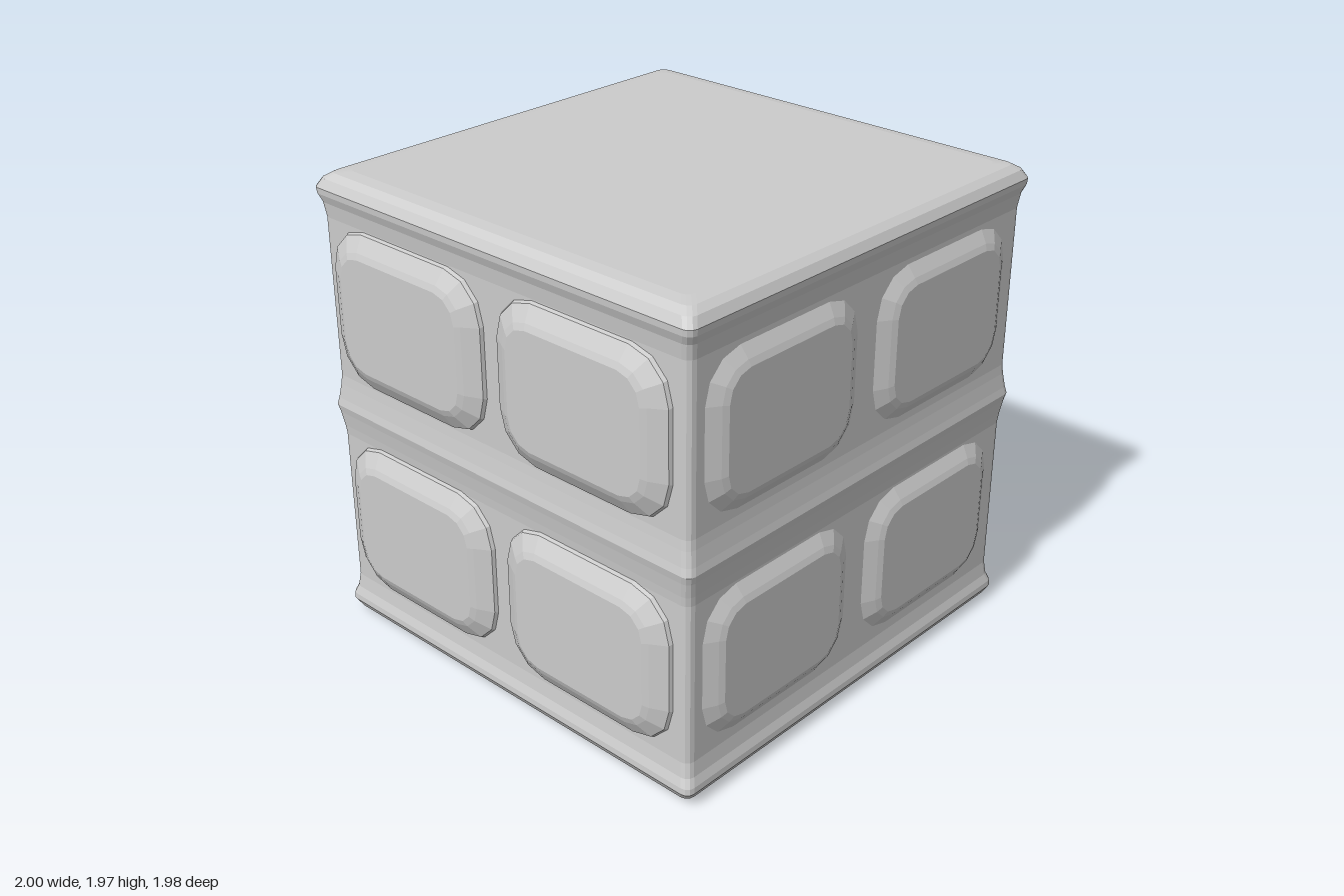
import * as THREE from 'three';

const material = new THREE.MeshStandardMaterial({ color: 0xcccccc, flatShading: true });

// Skins a stack of rounded rectangles [y, halfX, halfZ, cornerRadius] from bottom to top.
function loft(rings, cornerSteps) {
  const positions = [], index = [];
  const count = 4 * (cornerSteps + 1);
  for (const [y, hx, hz, r] of rings) {
    for (let c = 0; c < 4; c++) {
      const sx = c === 0 || c === 3 ? 1 : -1, sz = c < 2 ? 1 : -1;
      for (let s = 0; s <= cornerSteps; s++) {
        const a = (c + s / cornerSteps) * Math.PI / 2;
        positions.push(sx * (hx - r) + r * Math.cos(a), y, sz * (hz - r) + r * Math.sin(a));
      }
    }
  }
  for (let k = 0; k < rings.length - 1; k++) {
    for (let i = 0; i < count; i++) {
      const j = (i + 1) % count;
      const a = k * count + i, b = k * count + j, c = a + count, d = b + count;
      index.push(a, c, b, b, c, d);
    }
  }
  // Fan caps at both ends
  const top = (rings.length - 1) * count;
  for (let i = 1; i < count - 1; i++) {
    index.push(0, i, i + 1, top, top + i + 1, top + i);
  }
  const geometry = new THREE.BufferGeometry();
  geometry.setAttribute('position', new THREE.Float32BufferAttribute(positions, 3));
  geometry.setIndex(index);
  geometry.computeVertexNormals();
  return geometry;
}

export function createModel() {
  const model = new THREE.Group();
  model.name = 'panelledCube';

  // Body: rounded rims at top and bottom, a raised belt and two recessed bands
  const lower = [
    [0.008, 0.87], [0.015, 0.92], [0.035, 0.95], [0.07, 0.97], [0.095, 0.968],
    [0.13, 0.955], [0.19, 0.947], [0.86, 0.947], [0.9, 0.951], [0.96, 0.96],
  ];
  const upper = lower.map(([y, h]) => [1.985 - y, h]).reverse();
  const profile = [...lower, [0.993, 0.967], ...upper];
  const body = new THREE.Mesh(loft(profile.map(([y, h]) => [y, h, h, 0.035]), 3), material);
  body.name = 'body';
  body.position.set(0.008, 0, 0.004);
  model.add(body);

  // Raised panel with a sloping border, facing +z
  const panelGeometry = loft([
    [-0.06, 0.42, 0.325, 0.18],
    [-0.045, 0.415, 0.32, 0.18],
    [-0.01, 0.35, 0.262, 0.125],
    [0, 0.325, 0.237, 0.105],
  ], 3).rotateX(Math.PI / 2);

  // Two by two panels on each of the four sides
  ['front', 'left', 'back', 'right'].forEach((side, i) => {
    const face = new THREE.Group();
    face.name = side + 'Panels';
    face.rotation.y = i * Math.PI / 2;
    for (const y of [0.54, 1.465]) {
      for (const x of [-0.46, 0.46]) {
        const panel = new THREE.Mesh(panelGeometry, material);
        panel.name = 'panel';
        panel.position.set(x, y, i % 2 ? 1 : 0.99);
        face.add(panel);
      }
    }
    model.add(face);
  });

  return model;
}
